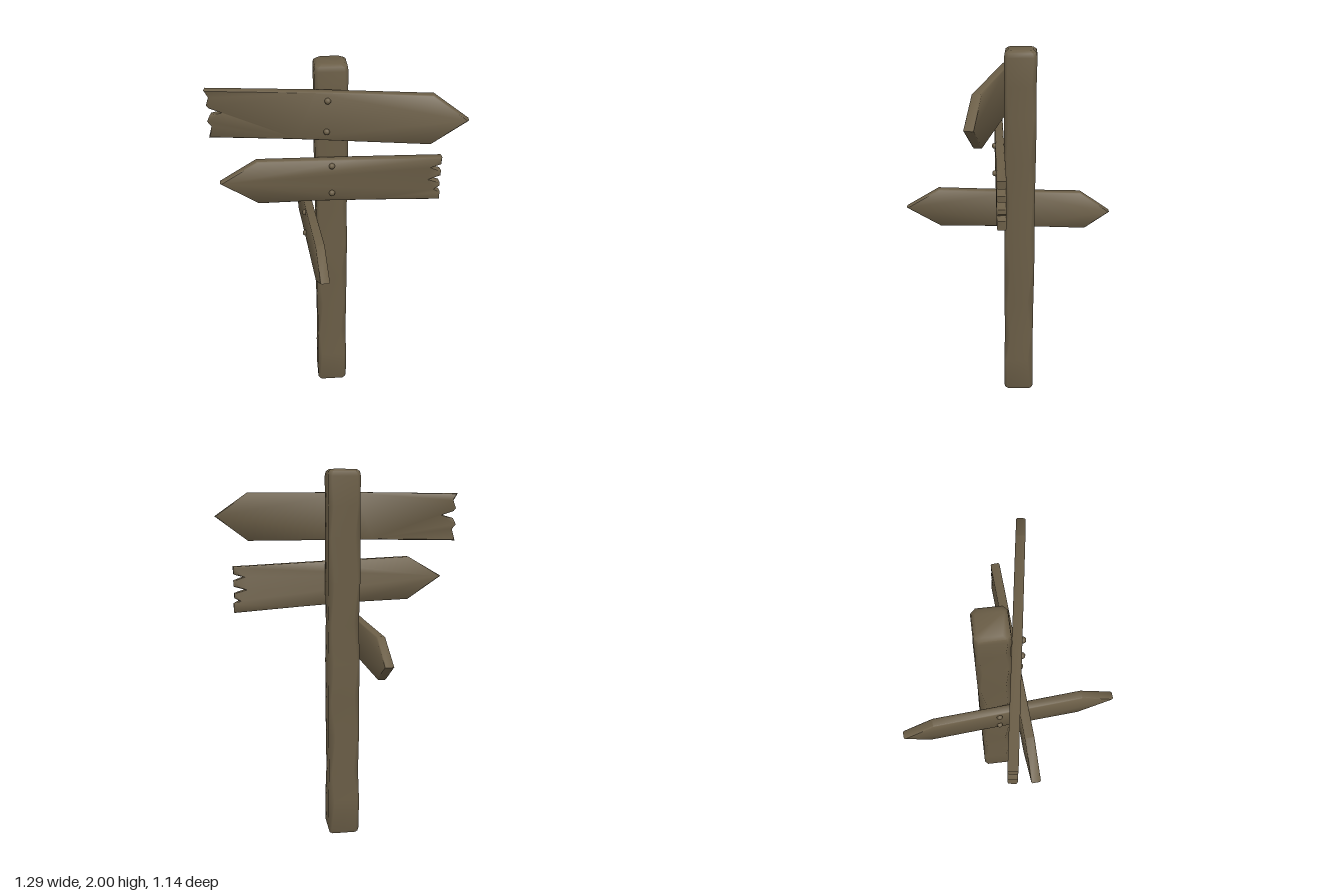
import * as THREE from 'three';
import { toCreasedNormals } from 'three/addons/utils/BufferGeometryUtils.js';

const THICK = 0.046;

// Square post lofted from eight-sided rings: [y, inset, four corner chamfers]
function postGeometry() {
  const rows = [
    [0, 0.006, 0.015, 0.015, 0.015, 0.015],
    [0.02, 0, 0.018, 0.014, 0.02, 0.014],
    [0.2, 0, 0.014, 0.03, 0.012, 0.024],
    [0.36, 0.003, 0.032, 0.014, 0.03, 0.012],
    [0.58, 0.002, 0.018, 0.034, 0.014, 0.03],
    [0.78, 0, 0.034, 0.014, 0.032, 0.014],
    [0.98, 0.001, 0.014, 0.026, 0.016, 0.034],
    [1.2, 0.003, 0.028, 0.014, 0.034, 0.014],
    [1.42, 0.001, 0.014, 0.03, 0.014, 0.028],
    [1.66, 0, 0.024, 0.014, 0.03, 0.014],
    [1.82, 0.003, 0.014, 0.024, 0.014, 0.026],
    [1.965, 0.001, 0.018, 0.018, 0.018, 0.018],
    [1.988, 0.005, 0.02, 0.02, 0.02, 0.02],
    [2, 0.02, 0.02, 0.02, 0.02, 0.02],
  ];
  const pos = [], index = [];
  for (const [y, inset, a, b, c, d] of rows) {
    const x0 = -0.106 + inset, x1 = 0.065 - inset, z0 = -0.148 + inset, z1 = 0.02 - inset;
    pos.push(
      x1 - a, y, z1, x1, y, z1 - a, x1, y, z0 + b, x1 - b, y, z0,
      x0 + c, y, z0, x0, y, z0 + c, x0, y, z1 - d, x0 + d, y, z1);
  }
  for (let r = 0; r < rows.length - 1; r++) {
    for (let i = 0; i < 8; i++) {
      const p = r * 8 + i, q = r * 8 + (i + 1) % 8;
      index.push(p, q, q + 8, p, q + 8, p + 8);
    }
  }
  const top = (rows.length - 1) * 8;
  for (let i = 1; i < 7; i++) {
    index.push(0, i + 1, i, top, top + i, top + i + 1);
  }
  const geo = new THREE.BufferGeometry();
  geo.setAttribute('position', new THREE.Float32BufferAttribute(pos, 3));
  geo.setIndex(index);
  return toCreasedNormals(geo, 0.9);
}

// Plank cut from an outline, with softened edges, centred on its thickness
function plankGeometry(outline, stretch) {
  const shape = new THREE.Shape(outline.map(([x, y]) => new THREE.Vector2(x * stretch, y)));
  const bevel = 0.005;
  const geo = new THREE.ExtrudeGeometry(shape, {
    depth: THICK - 2 * bevel, bevelEnabled: true, bevelThickness: bevel,
    bevelSize: bevel, bevelOffset: -bevel, bevelSegments: 1,
  });
  geo.translate(0, 0, -THICK / 2 + bevel);
  return toCreasedNormals(geo, 0.85);
}

export function createModel() {
  const wood = new THREE.MeshStandardMaterial({ color: 0x6b5e47 });
  wood.name = 'weathered wood';
  const model = new THREE.Group();
  model.name = 'signpost';

  const post = new THREE.Mesh(postGeometry(), wood);
  post.name = 'post';
  model.add(post);

  const signs = [
    { // top board, pointing to +x, split at the other end
      name: 'topSign', position: [0, 0, 0.055], turn: -0.151,
      outline: [[-0.635, 1.63], [-0.2, 1.634], [0.465, 1.627], [0.64, 1.757], [0.465, 1.88],
        [-0.1, 1.883], [-0.643, 1.877], [-0.622, 1.84], [-0.636, 1.8], [-0.625, 1.785],
        [-0.565, 1.764], [-0.622, 1.748], [-0.638, 1.715], [-0.618, 1.69]],
      bolts: [[-0.04, 1.84], [-0.046, 1.68]],
    },
    { // middle board, pointing to -x, sloping and split at the +x end
      name: 'middleSign', position: [0, 0, 0.044], turn: 0.058,
      outline: [[-0.595, 1.425], [-0.405, 1.3], [-0.1, 1.293], [0.2, 1.277], [0.555, 1.255],
        [0.555, 1.302], [0.525, 1.318], [0.552, 1.335], [0.55, 1.358], [0.49, 1.377],
        [0.553, 1.395], [0.553, 1.425], [0.5, 1.445], [0.552, 1.46], [0.555, 1.5],
        [0.1, 1.518], [-0.405, 1.535]],
      bolts: [[-0.025, 1.49], [-0.025, 1.336]],
    },
    { // side board, pointed at both ends, running front to back
      name: 'sideSign', position: [-0.134, 0, 0], turn: -Math.PI / 2 + 0.07,
      outline: [[-0.568, 1.067], [-0.43, 0.97], [-0.1, 0.985], [0.385, 0.998], [0.57, 1.11],
        [0.39, 1.215], [-0.02, 1.197], [-0.4, 1.185]],
      bolts: [[-0.05, 1.16], [-0.05, 1.03]],
    },
  ];

  const boltGeo = new THREE.SphereGeometry(0.016, 10, 8);
  for (const { name, position, turn, outline, bolts } of signs) {
    const sign = new THREE.Group();
    sign.name = name;
    sign.position.set(...position);
    sign.rotation.y = turn;
    const lean = Math.max(Math.abs(Math.cos(turn)), Math.abs(Math.sin(turn)));
    const plank = new THREE.Mesh(plankGeometry(outline, 1 / lean), wood);
    plank.name = name + 'Plank';
    sign.add(plank);
    for (const [x, y] of bolts) {
      const bolt = new THREE.Mesh(boltGeo, wood);
      bolt.name = name + 'Bolt';
      bolt.position.set(x, y, THICK / 2 + 0.002);
      sign.add(bolt);
    }
    model.add(sign);
  }
  return model;
}
